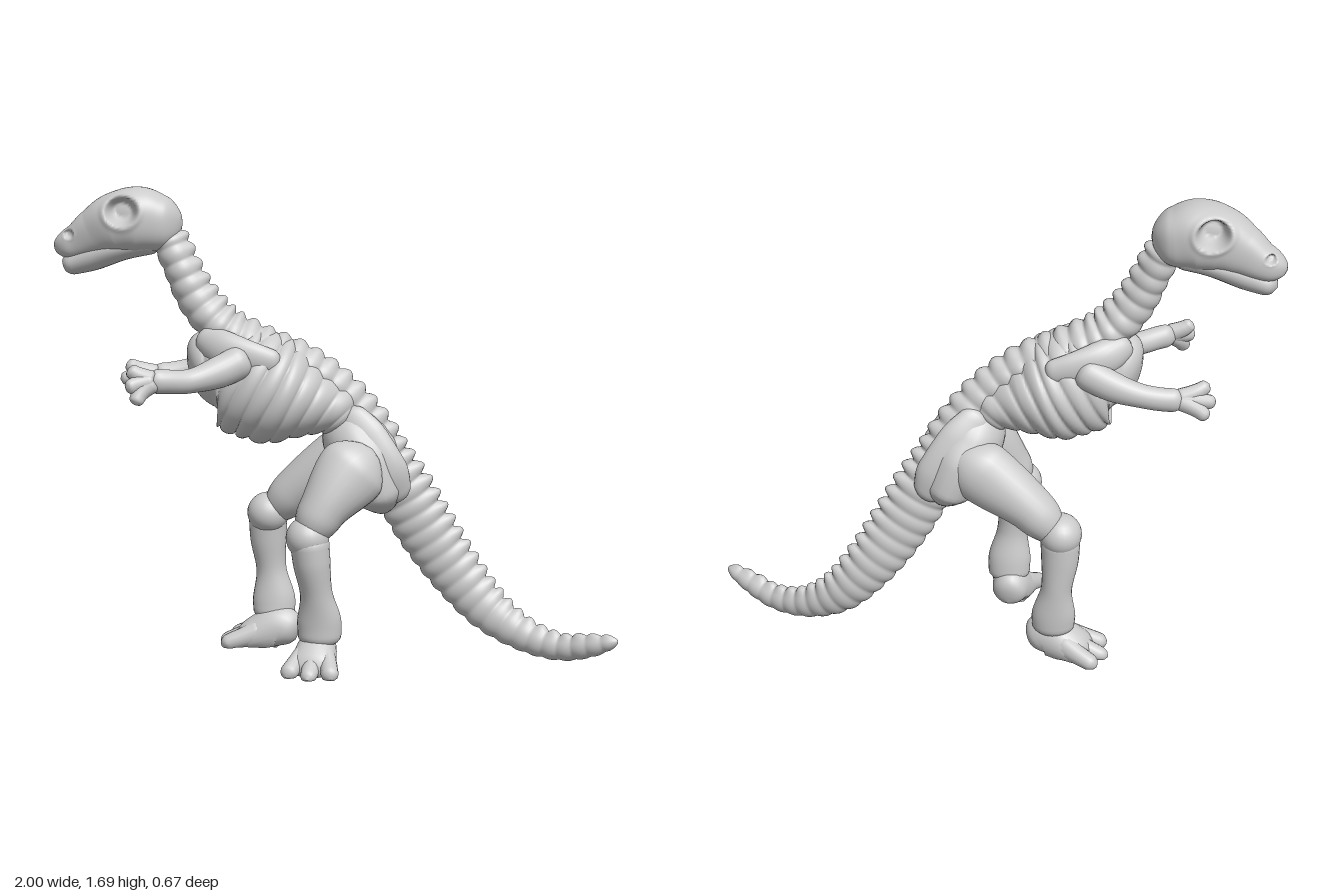
import * as THREE from 'three';

const material = new THREE.MeshStandardMaterial({ color: 0xcccccc, side: THREE.DoubleSide });

// Skin elliptical rings [x, y, z, half height, half width] along a smooth path with rounded ends.
// shape(angle, s) scales the radius; s runs 0..1 by arc length.
function sweep(rings, { steps = 32, sides = 24, round = 0.1, shape = () => 1 } = {}) {
  const path = new THREE.CatmullRomCurve3(rings.map(r => new THREE.Vector3(r[0], r[1], r[2])));
  const size = new THREE.CatmullRomCurve3(rings.map(r => new THREE.Vector3(r[3], r[4], 0)));
  const centres = [], dist = [0], positions = [], index = [];
  for (let i = 0; i <= steps; i++) {
    centres.push(path.getPoint(i / steps));
    if (i) dist.push(dist[i - 1] + centres[i].distanceTo(centres[i - 1]));
  }
  for (let i = 0; i <= steps; i++) {
    const s = dist[i] / dist[steps], r = size.getPoint(i / steps);
    const edge = Math.min(1, Math.min(s, 1 - s) / round);
    const cap = Math.max(0.01, Math.sqrt(1 - (1 - edge) ** 2));
    const T = path.getTangent(i / steps);
    const S = new THREE.Vector3(0, 0, 1).addScaledVector(T, -T.z).normalize();
    const U = T.clone().cross(S);
    for (let j = 0; j < sides; j++) {
      const a = j / sides * Math.PI * 2, k = cap * shape(a, s);
      const p = centres[i].clone().addScaledVector(S, r.y * k * Math.cos(a)).addScaledVector(U, r.x * k * Math.sin(a));
      positions.push(p.x, p.y, p.z);
      if (i < steps) {
        const n = (j + 1) % sides, b = i * sides, c = b + sides;
        index.push(b + j, b + n, c + j, b + n, c + n, c + j);
      }
    }
  }
  const geometry = new THREE.BufferGeometry();
  geometry.setAttribute('position', new THREE.Float32BufferAttribute(positions, 3));
  geometry.setIndex(index);
  geometry.computeVertexNormals();
  return geometry;
}

function add(parent, name, geometry) {
  const mesh = new THREE.Mesh(geometry, material);
  mesh.name = name;
  parent.add(mesh);
  return mesh;
}

// Move every vertex by a rule
function deform(geometry, rule) {
  const pos = geometry.attributes.position, v = new THREE.Vector3();
  for (let i = 0; i < pos.count; i++) {
    v.fromBufferAttribute(pos, i);
    rule(v);
    pos.setXYZ(i, v.x, v.y, v.z);
  }
  geometry.computeVertexNormals();
  return geometry;
}

function buildHead(parent) {
  const head = new THREE.Group();
  head.name = 'head';
  parent.add(head);
  // Slightly squared cross-section
  const skull = sweep([
    [-0.54, 1.565, -0.045, 0.07, 0.07], [-0.62, 1.57, -0.047, 0.1, 0.1], [-0.7, 1.58, -0.05, 0.116, 0.114],
    [-0.78, 1.565, -0.057, 0.108, 0.102], [-0.85, 1.535, -0.07, 0.086, 0.08],
    [-0.92, 1.5, -0.084, 0.062, 0.064], [-1.0, 1.477, -0.093, 0.042, 0.052],
  ], { steps: 90, sides: 80, round: 0.13, shape: a => 1 + 0.07 * Math.sin(2 * a) ** 2 });
  // Hollow eye sockets with raised rims, and small nostrils
  const hollows = [[-0.745, 1.615, 0.062, 0.07], [-0.94, 1.53, 0.02, 0.02]];
  add(head, 'skull', deform(skull, v => {
    const mid = -0.057 + (v.x + 0.78) * 0.15, side = Math.sign(v.z - mid);
    if (Math.abs(v.z - mid) < 0.012) return;
    for (const [x, y, r, depth] of hollows) {
      const d = Math.hypot(v.x - x, (v.y - y) * 1.15) / r;
      const dent = depth * (1 - THREE.MathUtils.smoothstep(d, 0.5, 1));
      const rim = 0.08 * r * Math.exp(-(((d - 1.12) / 0.15) ** 2));
      v.z = mid + side * Math.max(0.01, Math.abs(v.z - mid) - dent + rim);
    }
  }));
  add(head, 'lowerJaw', sweep([
    [-0.62, 1.51, -0.05, 0.045, 0.075], [-0.75, 1.485, -0.057, 0.047, 0.076],
    [-0.86, 1.45, -0.073, 0.051, 0.062], [-0.97, 1.412, -0.092, 0.037, 0.045],
  ]));
}

// Foot pointing along -x: sloping instep, three toes, flat sole
function buildFoot(parent, name, x, z, turn, length) {
  const foot = new THREE.Group();
  foot.name = name;
  foot.position.set(x, 0, z);
  foot.rotation.y = turn;
  foot.scale.x = length;
  parent.add(foot);
  const flat = g => deform(g, v => { v.y = Math.max(v.y, 0.006); });
  add(foot, 'instep', flat(sweep([
    [0.085, 0.03, 0, 0.045, 0.055], [0.03, 0.07, 0, 0.085, 0.068],
    [-0.05, 0.05, 0, 0.07, 0.08], [-0.14, 0.02, 0, 0.035, 0.085],
  ], { round: 0.2 })));
  for (const k of [-1, 0, 1]) {
    add(foot, 'toe', flat(sweep([
      [-0.02, 0.07, k * 0.035, 0.05, 0.035], [-0.1, 0.042, k * 0.06, 0.036, 0.032],
      [-0.15, 0.025, k * 0.073, 0.03, 0.031], [-0.2 + 0.025 * Math.abs(k), 0.012, k * 0.08, 0.02, 0.022],
    ], { steps: 20, sides: 14, round: 0.15 })));
  }
}

function buildLeg(parent, side, { thigh, shin, knee, foot }) {
  const leg = new THREE.Group();
  leg.name = side + 'Leg';
  parent.add(leg);
  add(leg, 'thigh', sweep(thigh, { round: 0.25 }));
  add(leg, 'shin', sweep(shin));
  const cap = add(leg, 'knee', new THREE.SphereGeometry(1, 24, 16));
  cap.position.set(...knee);
  cap.scale.set(0.076, 0.075, 0.08);
  buildFoot(leg, 'foot', ...foot);
}

function buildArm(parent, side, arm, fingers) {
  const group = new THREE.Group();
  group.name = side + 'Arm';
  parent.add(group);
  add(group, 'armBones', sweep(arm, { round: 0.12 }));
  const [x, y, z] = arm[arm.length - 1];
  for (const [fx, fy, fz] of fingers) {
    add(group, 'finger', sweep([
      [x + 0.03, y, z, 0.034, 0.028], [(x + fx) / 2, (y + fy) / 2, (z + fz) / 2, 0.029, 0.025], [fx, fy, fz, 0.023, 0.02],
    ], { steps: 16, sides: 12, round: 0.15 }));
  }
}

export function createModel() {
  const model = new THREE.Group();
  model.name = 'dinosaurSkeleton';
  buildHead(model);

  // Neck, back and tail: one chain of vertebrae with a row of spines on top
  const bumps = 41;
  add(model, 'backbone', sweep([
    [-0.6, 1.54, -0.04, 0.06, 0.06], [-0.55, 1.42, -0.03, 0.06, 0.064], [-0.49, 1.3, -0.025, 0.068, 0.068],
    [-0.4, 1.2, -0.022, 0.07, 0.09], [-0.27, 1.14, -0.025, 0.062, 0.095], [-0.12, 1.075, -0.035, 0.06, 0.08],
    [0, 0.98, -0.05, 0.065, 0.065], [0.1, 0.85, -0.075, 0.075, 0.062], [0.17, 0.71, -0.1, 0.088, 0.065],
    [0.23, 0.6, -0.113, 0.097, 0.062], [0.31, 0.46, -0.125, 0.097, 0.058], [0.42, 0.3, -0.135, 0.088, 0.055],
    [0.54, 0.165, -0.12, 0.075, 0.05], [0.67, 0.085, -0.07, 0.057, 0.045], [0.8, 0.057, 0, 0.046, 0.04],
    [0.9, 0.078, 0.06, 0.04, 0.035], [0.998, 0.113, 0.115, 0.02, 0.02],
  ], {
    steps: 410, sides: 32, round: 0.02,
    shape: (a, s) => {
      const ridge = Math.abs(Math.sin(s * bumps * Math.PI));
      return 0.91 + 0.1 * ridge + (0.08 + 0.22 * ridge) * Math.max(0, -Math.sin(a)) ** 10;
    },
  }));

  // Rib cage with grooves between the ribs
  add(model, 'ribCage', sweep([
    [-0.505, 1.0, -0.02, 0.11, 0.075], [-0.42, 1.035, -0.02, 0.172, 0.13], [-0.31, 1.01, -0.02, 0.195, 0.168],
    [-0.21, 0.975, -0.022, 0.19, 0.18], [-0.11, 0.945, -0.03, 0.138, 0.15],
    [-0.02, 0.915, -0.04, 0.095, 0.105], [0.06, 0.87, -0.05, 0.08, 0.08],
  ], {
    steps: 140, sides: 48, round: 0.12,
    shape: (a, s) => 0.93 + 0.09 * Math.sqrt(Math.abs(Math.sin((s * 10 + 0.5 * Math.sin(a)) * Math.PI))),
  }));

  // Pelvis core
  add(model, 'pelvis', sweep([
    [0, 0.93, -0.05, 0.06, 0.06], [0.05, 0.83, -0.055, 0.11, 0.13], [0.1, 0.73, -0.06, 0.125, 0.175],
    [0.15, 0.62, -0.068, 0.105, 0.175], [0.175, 0.535, -0.075, 0.06, 0.125],
  ], { round: 0.22 }));

  // Hip blades and shoulder blades on both sides
  for (const m of [-1, 1]) {
    const side = m > 0 ? 'near' : 'far';
    add(model, side + 'HipBlade', sweep([
      [0.03, 0.92, -0.055 + m * 0.05, 0.045, 0.025], [0.1, 0.82, -0.06 + m * 0.09, 0.08, 0.035],
      [0.17, 0.7, -0.065 + m * 0.105, 0.085, 0.04], [0.23, 0.59, -0.08 + m * 0.08, 0.045, 0.035],
    ]));
    add(model, side + 'ShoulderBlade', sweep([
      [-0.48, 1.18, -0.02 + m * 0.04, 0.04, 0.035], [-0.39, 1.14, -0.02 + m * 0.095, 0.065, 0.045],
      [-0.29, 1.115, -0.02 + m * 0.125, 0.055, 0.032], [-0.19, 1.09, -0.025 + m * 0.125, 0.04, 0.025],
    ]));
  }

  // Legs
  buildLeg(model, 'near', {
    thigh: [[0.13, 0.79, 0.08, 0.09, 0.08], [0.055, 0.71, 0.105, 0.125, 0.095], [-0.045, 0.58, 0.148, 0.085, 0.088], [-0.1, 0.47, 0.165, 0.07, 0.078]],
    shin: [[-0.09, 0.51, 0.17, 0.07, 0.082], [-0.08, 0.4, 0.168, 0.066, 0.076], [-0.065, 0.29, 0.158, 0.057, 0.06],
      [-0.055, 0.18, 0.14, 0.078, 0.06], [-0.055, 0.09, 0.135, 0.075, 0.06]],
    knee: [-0.095, 0.49, 0.17],
    foot: [-0.065, 0.135, 1.4, 0.82],
  });
  buildLeg(model, 'far', {
    thigh: [[0.12, 0.79, -0.165, 0.09, 0.085], [0.02, 0.71, -0.175, 0.115, 0.09], [-0.15, 0.59, -0.205, 0.084, 0.084], [-0.25, 0.48, -0.225, 0.07, 0.069]],
    shin: [[-0.255, 0.51, -0.228, 0.072, 0.065], [-0.255, 0.4, -0.233, 0.066, 0.059], [-0.245, 0.29, -0.238, 0.055, 0.052],
      [-0.235, 0.17, -0.23, 0.078, 0.056], [-0.235, 0.09, -0.222, 0.072, 0.056]],
    knee: [-0.255, 0.5, -0.222],
    foot: [-0.238, -0.208, -0.2, 1],
  });

  // Arms
  buildArm(model, 'near', [
    [-0.3, 1.115, 0.1, 0.06, 0.055], [-0.4, 1.07, 0.15, 0.056, 0.052], [-0.5, 1.045, 0.205, 0.042, 0.04],
    [-0.58, 1.05, 0.25, 0.042, 0.038], [-0.64, 1.055, 0.275, 0.045, 0.034],
  ], [[-0.7, 1.1, 0.28], [-0.705, 1.035, 0.315], [-0.675, 0.98, 0.32]]);
  buildArm(model, 'far', [
    [-0.3, 1.11, -0.135, 0.06, 0.055], [-0.42, 1.06, -0.17, 0.054, 0.046], [-0.53, 1.03, -0.18, 0.042, 0.038],
    [-0.62, 1.015, -0.172, 0.042, 0.036], [-0.67, 1.015, -0.165, 0.046, 0.034],
  ], [[-0.755, 1.06, -0.13], [-0.78, 1.0, -0.15], [-0.755, 0.955, -0.185]]);

  return model;
}
